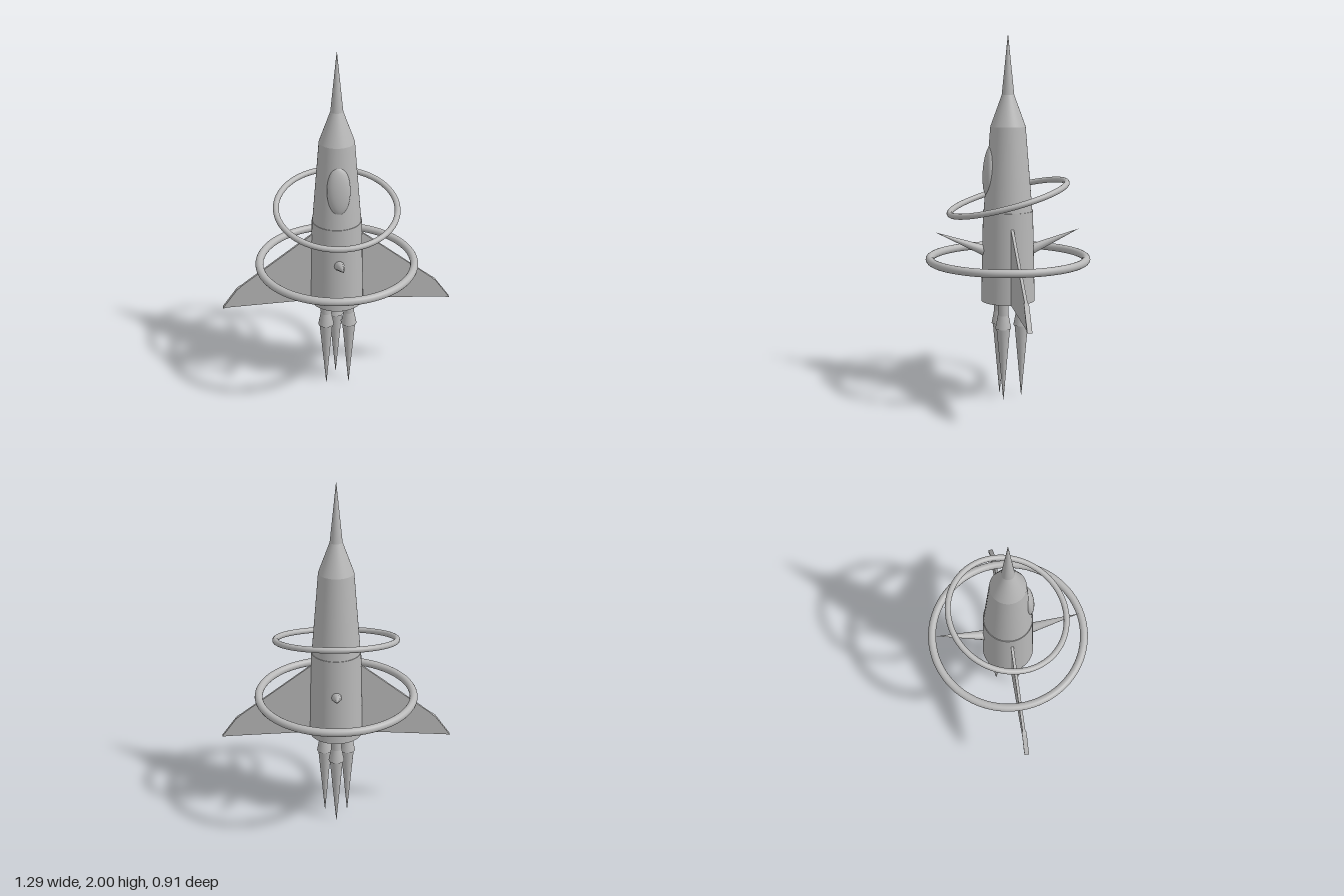
import * as THREE from 'three';

const grey = new THREE.MeshStandardMaterial({ color: 0xb8b8b8 });
grey.name = 'plain grey';

function add(parent, name, geometry, x = 0, y = 0, z = 0) {
  const mesh = new THREE.Mesh(geometry, grey);
  mesh.name = name;
  mesh.position.set(x, y, z);
  parent.add(mesh);
  return mesh;
}

// Upright round section between two heights
function section(parent, name, y0, r0, y1, r1, sides = 48) {
  const g = new THREE.CylinderGeometry(r1, r0, y1 - y0, sides);
  return add(parent, name, g, 0, (y0 + y1) / 2, 0);
}

// Flat plate cut from an outline in x and y, centred on z = 0
function plate(parent, name, points, thickness) {
  const shape = new THREE.Shape(points.map(([x, y]) => new THREE.Vector2(x, y)));
  const g = new THREE.ExtrudeGeometry(shape, { depth: thickness, bevelEnabled: false });
  return add(parent, name, g.translate(0, 0, -thickness / 2));
}

function ring(parent, name, radius, tube, y, tilt) {
  const g = new THREE.TorusGeometry(radius, tube, 16, 72).rotateX(Math.PI / 2);
  add(parent, name, g, 0, y, 0).rotation.x = tilt;
}

export function createModel() {
  const model = new THREE.Group();
  model.name = 'rocket';

  // Fuselage and needle nose
  section(model, 'lowerBody', 0.55, 0.148, 1.05, 0.137);
  section(model, 'upperBody', 1.045, 0.134, 1.51, 0.096);
  section(model, 'noseCone', 1.51, 0.096, 1.68, 0.034);
  section(model, 'noseSpike', 1.68, 0.034, 2, 0.001);

  // Canopy bulge, leaning with the hull
  const canopy = add(model, 'canopy', new THREE.SphereGeometry(1, 32, 24), 0, 1.27, 0.104);
  canopy.scale.set(0.063, 0.138, 0.034);
  canopy.rotation.x = -0.08;

  // Swept wings with thicker tip edges
  for (const side of [1, -1]) {
    const wing = new THREE.Group();
    wing.name = side > 0 ? 'leftWing' : 'rightWing';
    wing.rotation.y = side > 0 ? 0 : Math.PI;
    plate(wing, 'wingPanel', [[0.1, 0.55], [0.145, 0.55], [0.645, 0.525], [0.56, 0.642], [0.13, 0.972], [0.1, 0.972]], 0.016);
    plate(wing, 'wingTipEdge', [[0.625, 0.526], [0.645, 0.525], [0.56, 0.642], [0.542, 0.655]], 0.026);
    model.add(wing);
  }

  // Level ring and tilted ring
  ring(model, 'largeRing', 0.431, 0.022, 0.785, 0);
  ring(model, 'smallRing', 0.331, 0.016, 1.122, 0.262);

  // Front and back spikes, rising outwards
  const base = new THREE.Vector3(0, 0.828, 0.12);
  const tip = new THREE.Vector3(0, 0.94, 0.4);
  const along = tip.clone().sub(base);
  for (const side of [1, -1]) {
    const holder = new THREE.Group();
    holder.name = side > 0 ? 'frontSpike' : 'backSpike';
    holder.rotation.y = side > 0 ? 0 : Math.PI;
    const spike = add(holder, 'spikeCone', new THREE.ConeGeometry(0.03, along.length(), 12));
    spike.position.copy(base).add(tip).multiplyScalar(0.5);
    spike.quaternion.setFromUnitVectors(new THREE.Vector3(0, 1, 0), along.clone().normalize());
    model.add(holder);
  }

  // Three engines with long pointed exhaust cones
  for (let i = 0; i < 3; i++) {
    const a = Math.PI + (i * Math.PI * 2) / 3;
    const engine = new THREE.Group();
    engine.name = 'engine' + (i + 1);
    engine.position.set(Math.sin(a) * 0.075, 0, Math.cos(a) * 0.075);
    section(engine, 'engineNeck', 0.48, 0.03, 0.56, 0.03, 24);
    section(engine, 'engineBell', 0.405, 0.044, 0.49, 0.028, 24);
    section(engine, 'exhaustCone', 0, 0.001, 0.41, 0.038, 24);
    model.add(engine);
  }

  return model;
}
